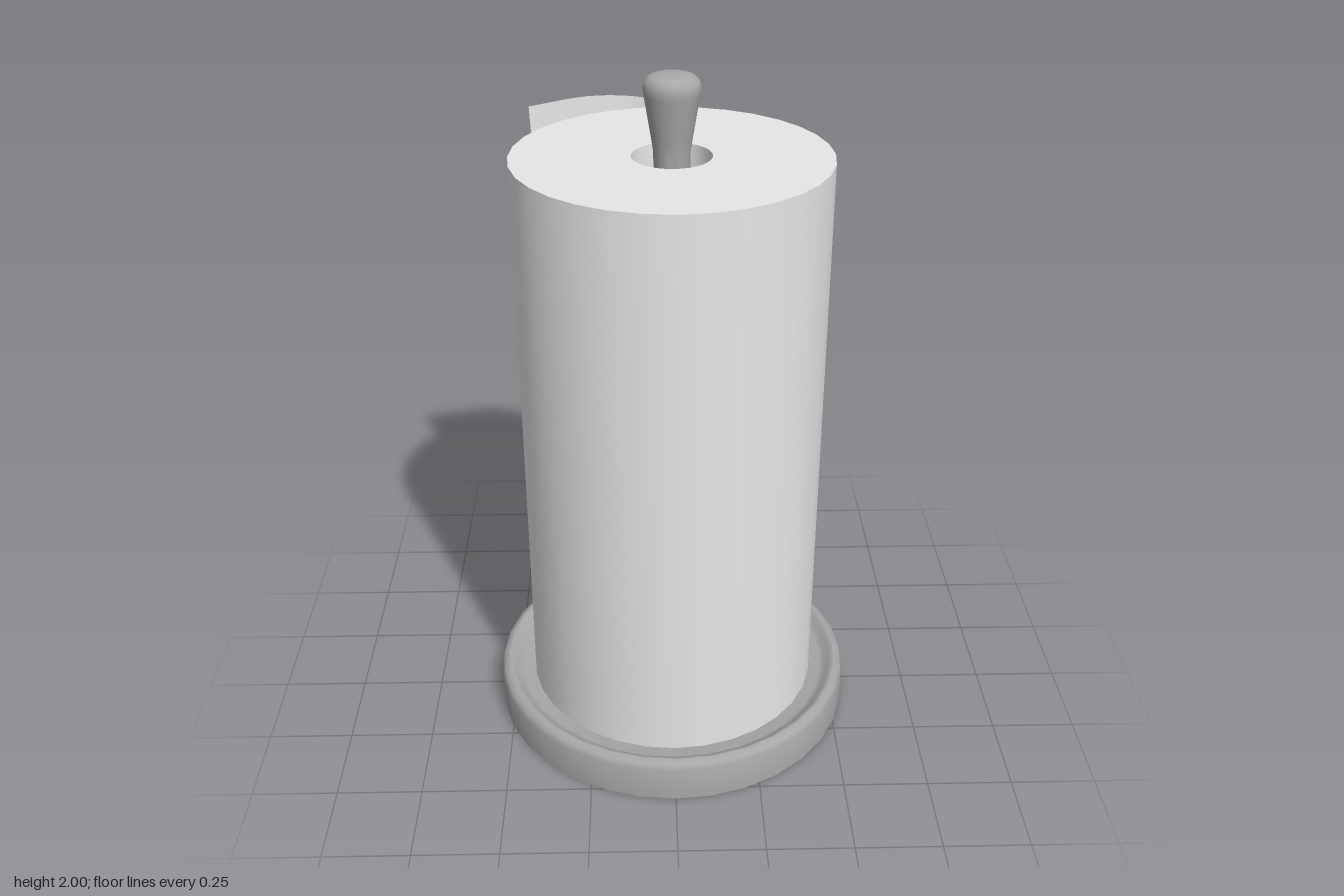
import * as THREE from 'three';
import { toCreasedNormals } from 'three/addons/utils/BufferGeometryUtils.js';

export function createModel() {
  const model = new THREE.Group();
  model.name = 'paperTowelHolder';
  const standGrey = new THREE.MeshStandardMaterial({ color: 0xa8a8a8 });
  standGrey.name = 'stand grey';
  const paper = new THREE.MeshStandardMaterial({ color: 0xe8e8e8, side: THREE.DoubleSide });
  paper.name = 'paper white';

  const add = (name, geometry, material) => {
    const mesh = new THREE.Mesh(geometry, material);
    mesh.name = name;
    model.add(mesh);
  };
  const turned = (profile) => toCreasedNormals(
    new THREE.LatheGeometry(profile.map(([r, y]) => new THREE.Vector2(r, y)), 32), 0.8);

  // Round tray with a rounded rim, a shallow recess and a low boss in the middle
  add('base', turned([
    [0, 0], [0.545, 0], [0.545, 0.105], [0.538, 0.122], [0.52, 0.13],
    [0.505, 0.124], [0.492, 0.106], [0.475, 0.1], [0.1, 0.1], [0.1, 0.125], [0, 0.125],
  ]), standGrey);

  // Central pole, flaring into a rounded knob
  add('poleAndKnob', turned([
    [0.05, 0.12], [0.05, 1.79], [0.056, 1.83], [0.075, 1.945], [0.078, 1.965],
    [0.073, 1.984], [0.06, 1.995], [0.04, 2], [0, 2],
  ]), standGrey);

  // Hollow paper roll
  add('paperRoll', turned([
    [0.11, 0.1], [0.44, 0.1], [0.44, 1.78], [0.11, 1.78], [0.11, 0.1],
  ]), paper);

  // Loose end of the paper, lofted between its bottom and top edges
  const edge = (points) => new THREE.CatmullRomCurve3(points.map((p) => new THREE.Vector3(...p)));
  const bottom = edge([
    [0.08, 0.1, -0.434], [-0.02, 0.1, -0.467], [-0.11, 0.1, -0.482],
    [-0.23, 0.1, -0.45], [-0.33, 0.1, -0.405],
  ]);
  const top = edge([
    [0.08, 1.78, -0.434], [-0.02, 1.79, -0.47], [-0.11, 1.8, -0.485],
    [-0.24, 1.808, -0.458], [-0.41, 1.788, -0.426],
  ]);
  const sheet = new THREE.PlaneGeometry(1, 1, 20, 8);
  const pos = sheet.attributes.position;
  for (let i = 0; i < pos.count; i++) {
    const u = pos.getX(i) + 0.5;
    const v = pos.getY(i) + 0.5;
    const p = bottom.getPoint(u).lerp(top.getPoint(u), v);
    pos.setXYZ(i, p.x, p.y, p.z);
  }
  sheet.computeVertexNormals();
  add('looseSheet', sheet, paper);

  return model;
}
